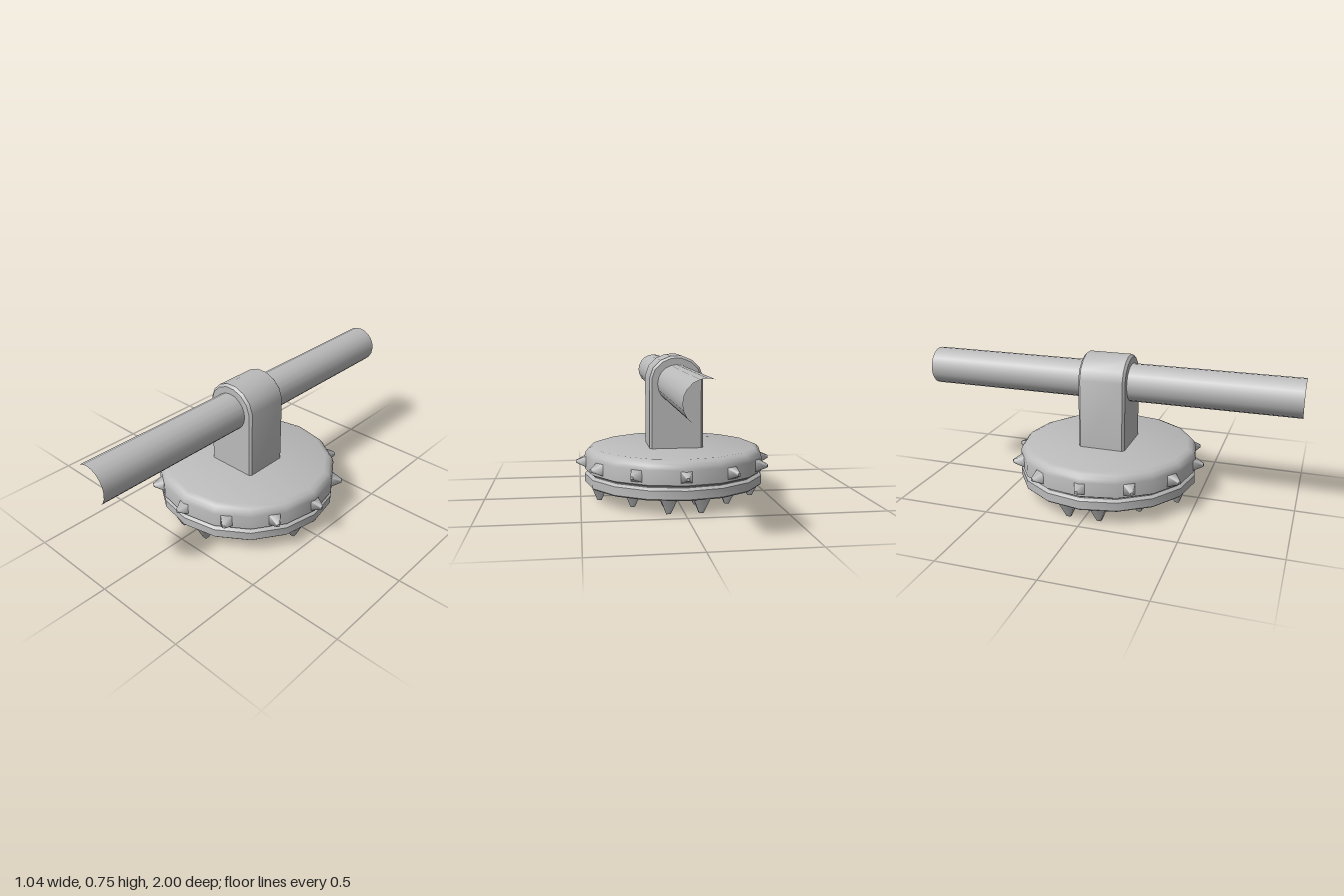
import * as THREE from 'three';
import { toCreasedNormals } from 'three/addons/utils/BufferGeometryUtils.js';

export function createModel() {
  const group = new THREE.Group();
  const steel = new THREE.MeshStandardMaterial({ color: 0xbbbbbb });
  steel.name = 'grey steel';

  const add = (name, geometry, parent = group) => {
    const mesh = new THREE.Mesh(geometry, steel);
    mesh.name = name;
    parent.add(mesh);
    return mesh;
  };

  // Square stud with a blunt tip, pointing along +y from y = 0
  const stud = (tip, base, height) => new THREE.CylinderGeometry(
    tip * Math.SQRT2, base * Math.SQRT2, height, 4)
    .rotateY(Math.PI / 4).translate(0, height / 2, 0);

  // Round head with a rolled top edge and a groove above the lower rim
  const profile = [
    [0, 0.076], [0.468, 0.076], [0.475, 0.083], [0.475, 0.126], [0.468, 0.134],
    [0.458, 0.138], [0.458, 0.142], [0.475, 0.152], [0.475, 0.225], [0.469, 0.245],
    [0.455, 0.261], [0.43, 0.271], [0, 0.271],
  ].map(([r, y]) => new THREE.Vector2(r, y));
  add('head', toCreasedNormals(new THREE.LatheGeometry(profile, 16), 0.65));

  // Arched bracket with bevelled edges
  const bevel = 0.012, axisY = 0.607, radius = 0.146 - bevel;
  const arch = new THREE.Shape();
  arch.moveTo(-0.14 + bevel, 0.25);
  arch.lineTo(0.14 - bevel, 0.25);
  for (let i = 0; i < 8; i++) {
    const a = (i + 0.5) * Math.PI / 8;
    const x = THREE.MathUtils.clamp(Math.cos(a) * radius, -0.128, 0.128);
    arch.lineTo(x, axisY + Math.sin(a) * radius);
  }
  arch.closePath();
  const archGeometry = new THREE.ExtrudeGeometry(arch, {
    depth: 0.25 - 2 * bevel, bevelEnabled: true, bevelSegments: 1,
    bevelSize: bevel, bevelThickness: bevel,
  }).translate(0, 0, -0.125 + bevel);
  add('bracket', toCreasedNormals(archGeometry, 0.5));

  // Open handle tube along z
  add('handle', new THREE.CylinderGeometry(0.099, 0.099, 2, 20, 1, true)
    .rotateX(Math.PI / 2).translate(0, axisY, 0));

  // Twelve studs around the side
  const sideStuds = new THREE.Group();
  sideStuds.name = 'sideStuds';
  group.add(sideStuds);
  const sideStud = stud(0.007, 0.034, 0.065).rotateX(Math.PI / 2).translate(0, 0.192, 0.455);
  for (let i = 0; i < 12; i++) {
    add('sideStud', sideStud, sideStuds).rotation.y = i * Math.PI / 6;
  }

  // Grid of teeth below, kept inside the round face
  const teeth = new THREE.Group();
  teeth.name = 'teeth';
  group.add(teeth);
  const tooth = stud(0.011, 0.04, 0.077).rotateX(Math.PI);
  for (let i = 0; i < 6; i++) {
    for (let j = 0; j < 6; j++) {
      const x = (i - 2.5) * 0.161, z = (j - 2.5) * 0.161;
      if (Math.hypot(x, z) < 0.44) add('tooth', tooth, teeth).position.set(x, 0.077, z);
    }
  }
  return group;
}
